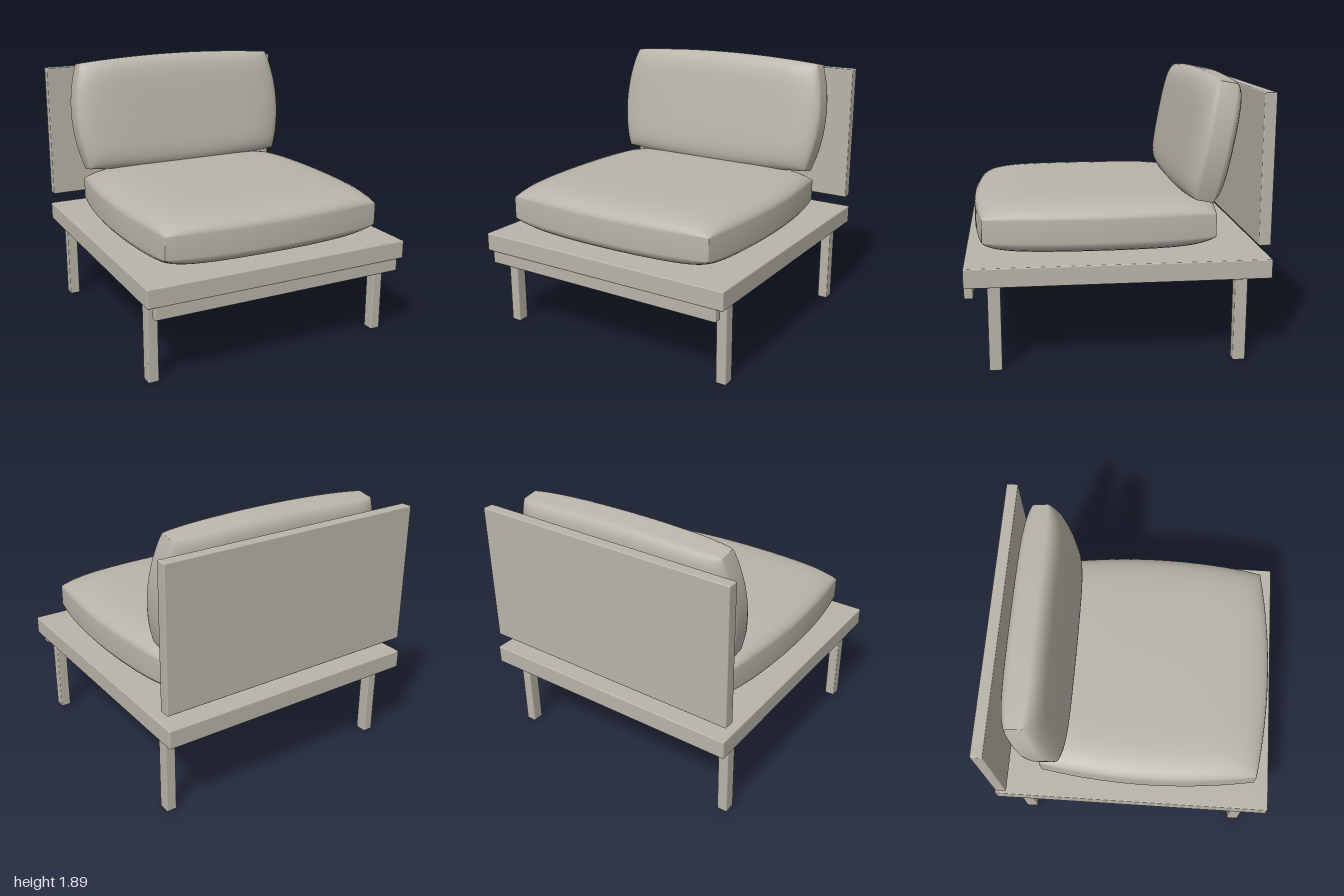
import * as THREE from 'three';
import { RoundedBoxGeometry } from 'three/addons/geometries/RoundedBoxGeometry.js';
import { mergeVertices } from 'three/addons/utils/BufferGeometryUtils.js';

// Pillow: a box whose sides bow outward and whose faces swell from a narrow edge band.
function cushionGeometry({ halfX, halfY, halfZ, band, bowX, bowZ }) {
  const box = new THREE.BoxGeometry(2, 2, 2, 28, 2, 28);
  box.deleteAttribute('normal');
  box.deleteAttribute('uv');
  const geometry = mergeVertices(box);
  const p = geometry.attributes.position;
  const swell = (t) => Math.sqrt(Math.max(0, 1 - Math.abs(t) ** 6));
  const ease = (t) => Math.sin(t * Math.PI / 2); // denser rows near the edges
  for (let i = 0; i < p.count; i++) {
    const u = ease(p.getX(i)), v = ease(p.getZ(i));
    const thickness = band + (halfY - band) * swell(u) * swell(v);
    p.setXYZ(i, u * (halfX - bowX * v * v), p.getY(i) * thickness, v * (halfZ - bowZ * u * u));
  }
  geometry.computeVertexNormals();
  return geometry;
}

export function createModel() {
  const model = new THREE.Group();
  model.name = 'loungeChair';
  const greige = new THREE.MeshStandardMaterial({ name: 'warm grey', color: 0xb8b4a9 });

  const add = (name, geometry, x, y, z) => {
    const mesh = new THREE.Mesh(geometry, greige);
    mesh.name = name;
    mesh.position.set(x, y, z);
    model.add(mesh);
    return mesh;
  };
  // Softly edged board given by its minimum and maximum corners
  const board = (name, [x0, y0, z0], [x1, y1, z1]) => add(
    name, new RoundedBoxGeometry(x1 - x0, y1 - y0, z1 - z0, 2, 0.008),
    (x0 + x1) / 2, (y0 + y1) / 2, (z0 + z1) / 2);

  // Frame
  board('platform', [-0.97, 0.585, -1], [0.97, 0.715, 1]);
  board('frontRail', [-0.92, 0.5, 0.94], [0.92, 0.59, 1]);
  board('backPanel', [-0.97, 0.81, -0.98], [0.97, 1.8, -0.9]);

  // Legs
  for (const side of [-1, 1]) {
    for (const end of [-1, 1]) {
      const leg = board(`${end > 0 ? 'front' : 'back'}${side > 0 ? 'Left' : 'Right'}Leg`,
        [-0.0375, 0, -0.0425], [0.0375, 0.59, 0.0425]);
      leg.position.x = side * 0.877;
      leg.position.z = end * 0.81;
    }
  }

  // Cushions
  add('seatCushion', cushionGeometry({
    halfX: 0.865, halfY: 0.187, halfZ: 0.84, band: 0.075, bowX: 0.07, bowZ: 0.07,
  }), 0, 0.905, 0.11);
  const back = add('backCushion', cushionGeometry({
    halfX: 0.86, halfY: 0.147, halfZ: 0.43, band: 0.055, bowX: 0.07, bowZ: 0.035,
  }), 0, 1.46, -0.648);
  back.rotation.x = Math.PI / 2 - 0.183; // stood up, leaning back

  return model;
}
